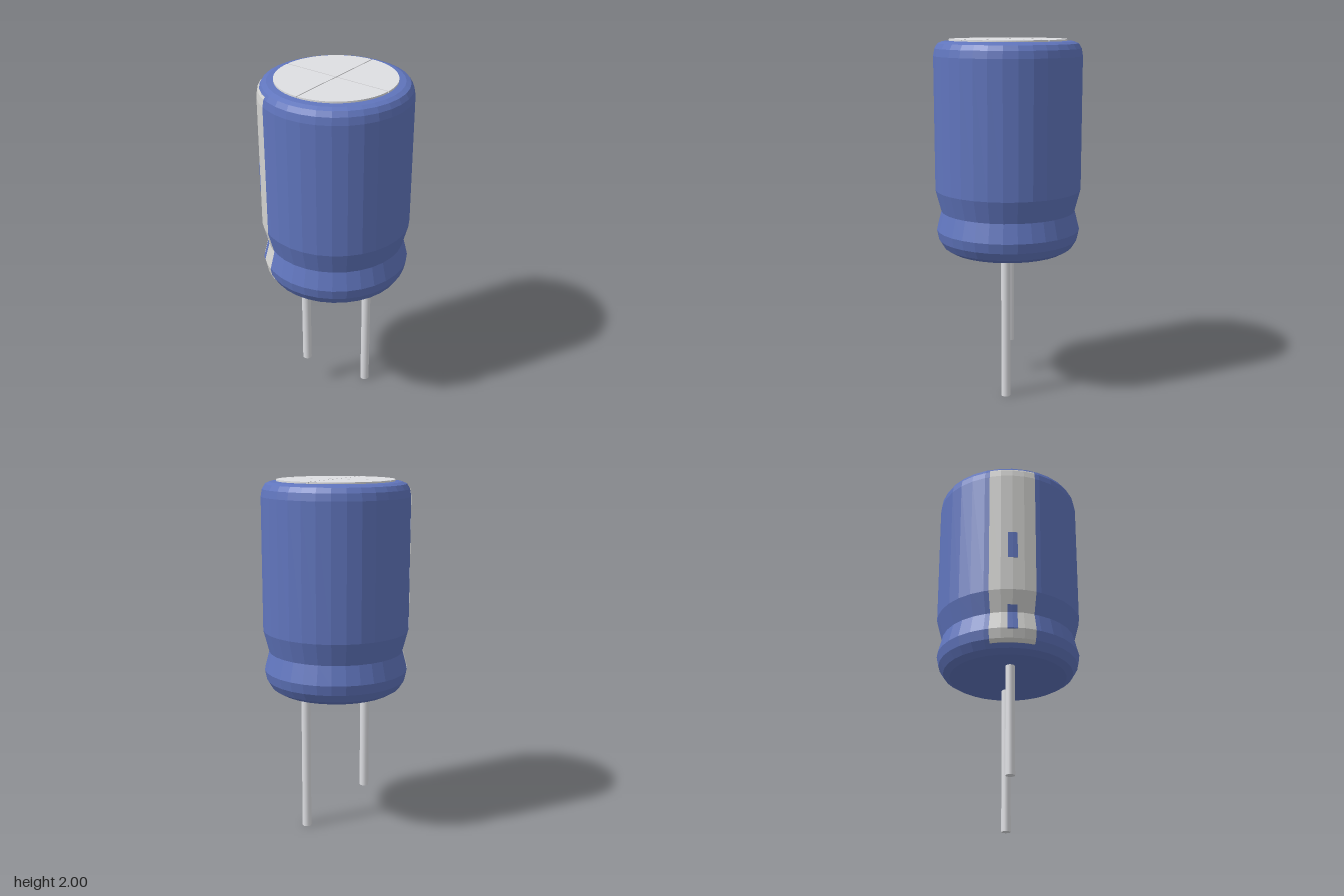
import * as THREE from 'three';

const mat = (name, color, extra = {}) =>
  Object.assign(new THREE.MeshStandardMaterial({ color, flatShading: true, ...extra }), { name });

// Outer can profile as [radius, height], from the bottom rim to the lid
const PROFILE = [
  [0.33, 0.824], [0.366, 0.846], [0.393, 0.89], [0.404, 0.945], [0.377, 1.05],
  [0.409, 1.172], [0.409, 1.91], [0.402, 1.95], [0.386, 1.977], [0.36, 1.988], [0.325, 1.991],
];

const radiusAt = (y) => {
  const i = Math.max(1, PROFILE.findIndex((p) => p[1] >= y));
  const [r0, y0] = PROFILE[i - 1], [r1, y1] = PROFILE[i];
  return r0 + ((r1 - r0) * (y - y0)) / (y1 - y0);
};

// Thin curved plate hugging the can on the -x side between two heights
function wrapPlate(y0, y1, halfAngle, offset, segments) {
  const heights = [y0, ...PROFILE.map((p) => p[1]).filter((y) => y > y0 && y < y1), y1];
  const points = heights.map((y) => new THREE.Vector2(radiusAt(y) + offset, y));
  points.unshift(new THREE.Vector2(radiusAt(y0) - 0.003, y0));
  points.push(new THREE.Vector2(radiusAt(y1) - 0.003, y1));
  return new THREE.LatheGeometry(points, segments, 1.5 * Math.PI - halfAngle, 2 * halfAngle);
}

export function createModel() {
  const group = new THREE.Group();
  group.name = 'capacitor';
  const blue = mat('blueSleeve', 0x6075bd);
  const stripeGrey = mat('stripeGrey', 0xd2d2d0, { side: THREE.DoubleSide });
  const lidGrey = mat('lidAluminium', 0xdedfe2);
  const leadMetal = mat('leadMetal', 0xdedfe3, { flatShading: false });

  const add = (name, geometry, material, parent = group) => {
    const mesh = new THREE.Mesh(geometry, material);
    mesh.name = name;
    parent.add(mesh);
    return mesh;
  };

  // Sleeve with crimped waist and rounded rims
  const outline = [[0, 0.824], ...PROFILE, [0, 1.991]].map(([r, y]) => new THREE.Vector2(r, y));
  add('sleeve', new THREE.LatheGeometry(outline, 32), blue);

  // Polarity stripe with two marks
  add('polarityStripe', wrapPlate(0.87, 1.96, 0.32, 0.003, 4), stripeGrey);
  add('upperMark', wrapPlate(1.37, 1.53, 0.066, 0.005, 2), blue);
  add('lowerMark', wrapPlate(0.94, 1.09, 0.068, 0.005, 2), blue);

  // Lid: base disc and four quadrants separated by a diagonal vent groove
  const lid = new THREE.Group();
  lid.name = 'lid';
  group.add(lid);
  add('lidBase', new THREE.CylinderGeometry(0.322, 0.322, 0.004, 48), lidGrey, lid).position.y = 1.991;
  const quadrant = new THREE.Shape();
  quadrant.moveTo(0, 0);
  quadrant.lineTo(0.319 * Math.SQRT1_2, -0.319 * Math.SQRT1_2);
  quadrant.absarc(0, 0, 0.319, -Math.PI / 4, Math.PI / 4, false);
  quadrant.lineTo(0, 0);
  const sector = new THREE.ExtrudeGeometry(quadrant, { depth: 0.009, bevelEnabled: false, curveSegments: 12 });
  sector.translate(0.004, 0, 0).rotateX(-Math.PI / 2);
  for (let i = 0; i < 4; i++) {
    const part = add('lidQuadrant', sector, lidGrey, lid);
    part.position.y = 1.991;
    part.rotation.y = (i * Math.PI) / 2;
  }

  // Leads: the positive one is longer
  for (const [name, x, bottom] of [['longLead', 0.18, 0], ['shortLead', -0.177, 0.208]]) {
    const length = 0.84 - bottom;
    add(name, new THREE.CylinderGeometry(0.026, 0.026, length, 16), leadMetal)
      .position.set(x, bottom + length / 2, 0);
  }
  return group;
}
